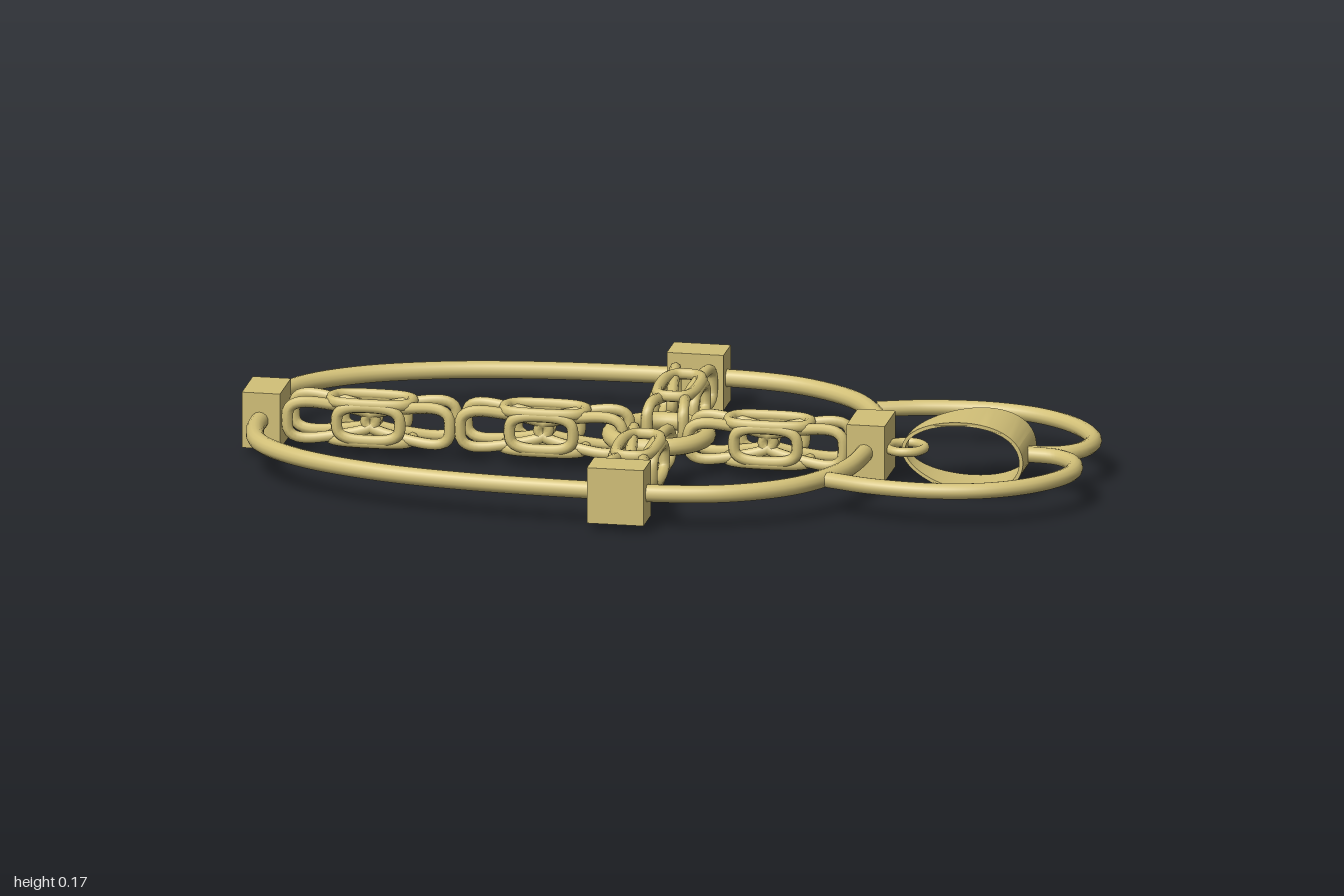
import * as THREE from 'three';
import { toCreasedNormals } from 'three/addons/utils/BufferGeometryUtils.js';

const gold = new THREE.MeshStandardMaterial({ color: 0xd2c078 });
const MID = 0.088; // height of the pendant's middle plane
const CX = -0.027; // where the arms cross

function add(parent, name, geometry) {
  const mesh = new THREE.Mesh(geometry, gold);
  mesh.name = name;
  parent.add(mesh);
  return mesh;
}

function tube(points, radius, closed, segments, sides = 12) {
  const curve = new THREE.CatmullRomCurve3(points, closed, 'centripetal');
  return new THREE.TubeGeometry(curve, segments, radius, sides, closed);
}

// Closed egg-shaped link from u0 to u1: width w0 tapers to w1, offset s0 to s1.
// Upright links stand in the u-y plane, flat ones lie in the u-z plane.
function link(parent, name, { u0, u1, w0, w1, s0, s1, upright }) {
  const points = [];
  for (let i = 0; i < 20; i++) {
    const a = (i / 20) * Math.PI * 2;
    const c = Math.cos(a), s = Math.sin(a);
    const t = (1 - Math.sign(c) * Math.abs(c) ** 0.7) / 2;
    const u = u0 + (u1 - u0) * t;
    const w = (w0 + (w1 - w0) * t) * Math.sign(s) * Math.abs(s) ** 0.6;
    const off = s0 + (s1 - s0) * t;
    points.push(upright ? new THREE.Vector3(u, w, off) : new THREE.Vector3(u, off, w));
  }
  add(parent, name, tube(points, 0.0135, true, 48, 8));
}

// One woven knot along +x: splayed upright pairs at both ends, flat pair between
function knot(length) {
  const g = new THREE.Group();
  g.name = 'chainKnot';
  const h = length / 2;
  for (const side of [-1, 1]) {
    for (const end of [0, 1]) {
      const at = u => (end ? length - u : u);
      link(g, 'splayedLink', {
        u0: at(0.012), u1: at(h + 0.012), w0: 0.053, w1: 0.022,
        s0: side * 0.043, s1: side * 0.016, upright: true,
      });
    }
    link(g, 'flatLink', {
      u0: h - 0.095, u1: h + 0.095, w0: 0.045, w1: 0.045,
      s0: side * 0.046, s1: side * 0.046, upright: false,
    });
    link(g, 'innerLink', {
      u0: h - 0.075, u1: h + 0.075, w0: 0.04, w1: 0.04,
      s0: side * 0.047, s1: side * 0.047, upright: true,
    });
  }
  return g;
}

// Arm pointing outward from the crossing: chain knots closed by a square cap
function arm(name, angle, start, end, knots) {
  const g = new THREE.Group();
  g.name = name;
  const step = (end - start) / knots;
  for (let i = 0; i < knots; i++) {
    const k = knot(step);
    k.position.x = start + i * step;
    g.add(k);
  }
  add(g, 'endCap', new THREE.BoxGeometry(0.09, 0.134, 0.134)).position.x = end + 0.045;
  g.position.set(CX, MID, 0);
  g.rotation.y = angle;
  return g;
}

export function createModel() {
  const model = new THREE.Group();
  model.name = 'crossPendant';

  // Four chain arms
  model.add(arm('rightArm', Math.PI, 0.065, 0.883, 2));
  model.add(arm('leftArm', 0, 0.065, 0.457, 1));
  model.add(arm('backArm', Math.PI / 2, 0.062, 0.445, 1));
  model.add(arm('frontArm', -Math.PI / 2, 0.062, 0.445, 1));

  // Ring joining the arms
  const ring = add(model, 'centreRing', new THREE.TorusGeometry(0.112, 0.021, 14, 56));
  ring.rotation.x = Math.PI / 2;
  ring.position.set(CX, MID, 0);

  // Oval frame, one half mirrored to the other
  const half = [
    [-0.957, 0], [-0.955, 0.14], [-0.92, 0.25], [-0.81, 0.35], [-0.62, 0.43], [-0.4, 0.471],
    [-0.09, 0.488], [0.1, 0.485], [0.24, 0.45], [0.37, 0.36], [0.45, 0.22], [0.47, 0.1], [0.47, 0],
  ];
  const outline = [...half, ...half.slice(1, -1).reverse().map(([x, z]) => [x, -z])];
  add(model, 'ovalFrame', tube(outline.map(([x, z]) => new THREE.Vector3(x, MID, z)), 0.021, true, 160, 14));

  // Two wire loops curling back into the bail
  const curl = [
    [0.43, 0.3], [0.54, 0.335], [0.69, 0.347], [0.82, 0.315], [0.92, 0.24],
    [0.975, 0.14], [0.965, 0.06], [0.92, 0.015], [0.845, 0.003],
  ];
  for (const side of [-1, 1]) {
    const path = curl.map(([x, z]) => new THREE.Vector3(x, MID, z * side));
    add(model, side > 0 ? 'frontLoop' : 'backLoop', tube(path, 0.019, false, 72));
  }

  // Small ring between the cap and the bail
  const jump = add(model, 'jumpRing', new THREE.TorusGeometry(0.043, 0.011, 10, 36));
  jump.rotation.x = Math.PI / 2;
  jump.position.set(0.558, MID, 0);

  // Bail: an egg-shaped band that widens away from the jump ring
  const egg = inset => Array.from({ length: 56 }, (_, i) => {
    const a = (i / 56) * Math.PI * 2;
    const x = 0.7 + (0.15 - inset) * Math.cos(a) + 0.022 * Math.sin(a) ** 2;
    return new THREE.Vector2(x, MID + (0.086 - inset) * Math.sin(a));
  });
  const band = new THREE.Shape(egg(0));
  band.holes.push(new THREE.Path(egg(0.009)));
  const bail = new THREE.ExtrudeGeometry(band, { depth: 2, bevelEnabled: false });
  bail.translate(0, 0, -1);
  const p = bail.attributes.position;
  for (let i = 0; i < p.count; i++) {
    const t = THREE.MathUtils.clamp((p.getX(i) - 0.55) / 0.3, 0, 1);
    p.setZ(i, p.getZ(i) * (0.016 + 0.067 * Math.sin(t * Math.PI / 2)));
  }
  add(model, 'bail', toCreasedNormals(bail, 0.6));

  return model;
}
